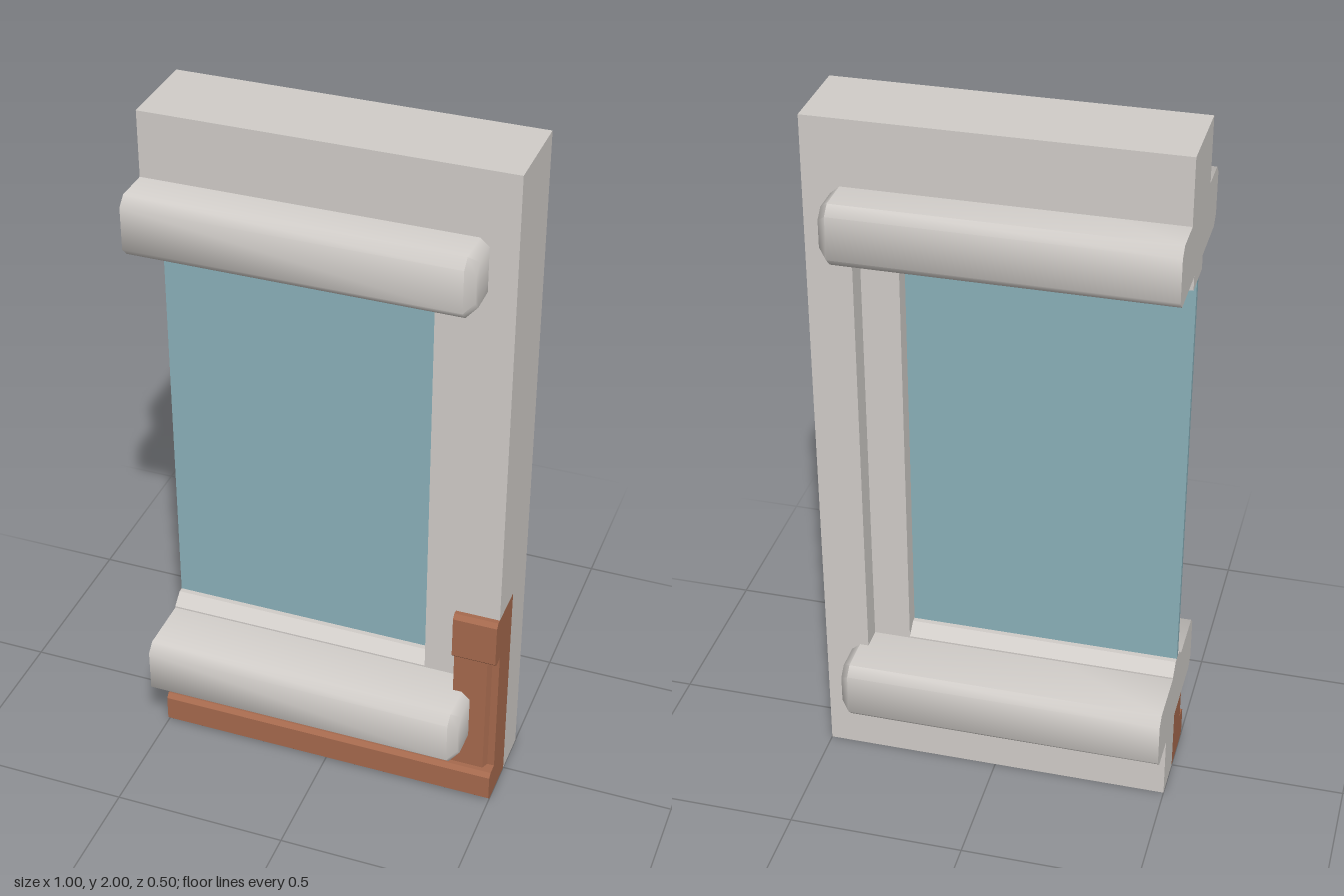
import * as THREE from 'three';
import { toCreasedNormals } from 'three/addons/utils/BufferGeometryUtils.js';

const material = (name, color) => {
  const m = new THREE.MeshStandardMaterial({ color });
  m.name = name;
  return m;
};

const shapeOf = (pts) => new THREE.Shape(pts.map(([x, y]) => new THREE.Vector2(x, y)));
const extrude = (pts, depth) =>
  new THREE.ExtrudeGeometry(shapeOf(pts), { depth, bevelEnabled: false });

// Profile given as [z, y], swept from x0 to x1
const alongX = (pts, x0, x1) =>
  extrude(pts.map(([z, y]) => [-z, y]), x1 - x0).rotateY(Math.PI / 2).translate(x0, 0, 0);

// Profile given as [x, z], swept from y0 to y1
const alongY = (pts, y0, y1) =>
  extrude(pts.map(([x, z]) => [x, -z]), y1 - y0).rotateX(-Math.PI / 2).translate(0, y0, 0);

const box = (x0, x1, y0, y1, z0, z1) =>
  new THREE.BoxGeometry(x1 - x0, y1 - y0, z1 - z0)
    .translate((x0 + x1) / 2, (y0 + y1) / 2, (z0 + z1) / 2);

// Bar with chamfered long edges, cut flat at -x and bevelled at +x
function ledgeGeometry(y0, y1) {
  const c = 0.025, pos = [], index = [];
  const ring = (inset) => {
    const z = 0.25 - inset, b = y0 + inset, t = y1 - inset;
    return [[z - c, b], [z, b + c], [z, t - c], [z - c, t],
      [c - z, t], [-z, t - c], [-z, b + c], [c - z, b]];
  };
  for (const [x, inset] of [[-0.5, 0], [0.4, 0], [0.425, 0.022]]) {
    for (const [z, y] of ring(inset)) pos.push(x, y, z);
  }
  for (let r = 0; r < 2; r++) {
    for (let i = 0; i < 8; i++) {
      const a = r * 8 + i, b = r * 8 + (i + 1) % 8;
      index.push(a, a + 8, b, b, a + 8, b + 8);
    }
  }
  for (let i = 1; i < 7; i++) {
    index.push(0, i, i + 1, 16, 16 + i + 1, 16 + i);
  }
  const g = new THREE.BufferGeometry();
  g.setAttribute('position', new THREE.Float32BufferAttribute(pos, 3));
  g.setIndex(index);
  return toCreasedNormals(g, Math.PI * 0.28);
}

export function createModel() {
  const plaster = material('plaster', 0xd0ccc8);
  const wood = material('wood', 0xa5694d);
  const glass = material('glass', 0x8ab0b9);
  const model = new THREE.Group();
  model.name = 'windowWall';
  const add = (name, geometry, mat) => {
    const mesh = new THREE.Mesh(geometry, mat);
    mesh.name = name;
    model.add(mesh);
  };

  // Wall: the full back half, and a front half notched for the wood panelling
  add('wallBack', extrude([[-0.5, 0], [0.5, 0], [0.5, 2], [-0.5, 2], [-0.5, 1.815],
    [0.375, 1.815], [0.375, 0.19], [-0.5, 0.19]], 0.125).translate(0, 0, -0.125), plaster);
  add('wallFront', extrude([[0.375, 0.65], [0.5, 0.65], [0.5, 2], [-0.5, 2],
    [-0.5, 1.815], [0.375, 1.815]], 0.125), plaster);

  // Ledges passing through the wall above and below the window
  add('lowerLedge', ledgeGeometry(0.19, 0.365), plaster);
  add('upperLedge', ledgeGeometry(1.645, 1.815), plaster);

  // Window frame and pane
  add('frameJamb', box(0.27, 0.375, 0.365, 1.645, -0.06, 0.06), plaster);
  add('frameTopRail', box(-0.5, 0.27, 1.605, 1.645, -0.06, 0.06), plaster);
  add('frameBottomRail', alongX([[-0.06, 0.365], [0.06, 0.365], [0.06, 0.37],
    [0.025, 0.4], [-0.025, 0.4], [-0.06, 0.37]], -0.5, 0.27), plaster);
  add('windowPane', box(-0.5, 0.27, 0.4, 1.605, -0.01, 0.01), glass);

  // Wood backing set into the front half of the wall
  add('panelBacking', extrude([[-0.5, 0], [0.5, 0], [0.5, 0.65], [0.375, 0.65],
    [0.375, 0.19], [-0.5, 0.19]], 0.105), wood);

  // Chamfered skirting and corner cap
  const trim = (y0, y1) => {
    const c = 0.012;
    return [[0.105, y0], [0.15 - c, y0], [0.15, y0 + c], [0.15, y1 - c], [0.15 - c, y1], [0.105, y1]];
  };
  add('skirting', alongX(trim(0, 0.1), -0.5, 0.5), wood);
  add('cornerCap', alongX(trim(0.5, 0.65), 0.375, 0.5), wood);

  // Vertical boards with bevelled grooves between them
  const board = (x0, x1, y1, left = 0.009, right = 0.009) => add('board', alongY([
    [x0, 0.105], [x0 + left, 0.125], [x1 - right, 0.125], [x1, 0.105]], 0.1, y1), wood);
  const grooves = [-0.485, -0.39, -0.23, -0.09, 0.055, 0.197];
  for (let i = 0; i < grooves.length - 1; i++) {
    board(grooves[i] + 0.004, grooves[i + 1] - 0.004, 0.19);
  }
  board(0.201, 0.375, 0.19, 0.009, 0);
  board(0.375, 0.48, 0.5, 0, 0.009);

  return model;
}
